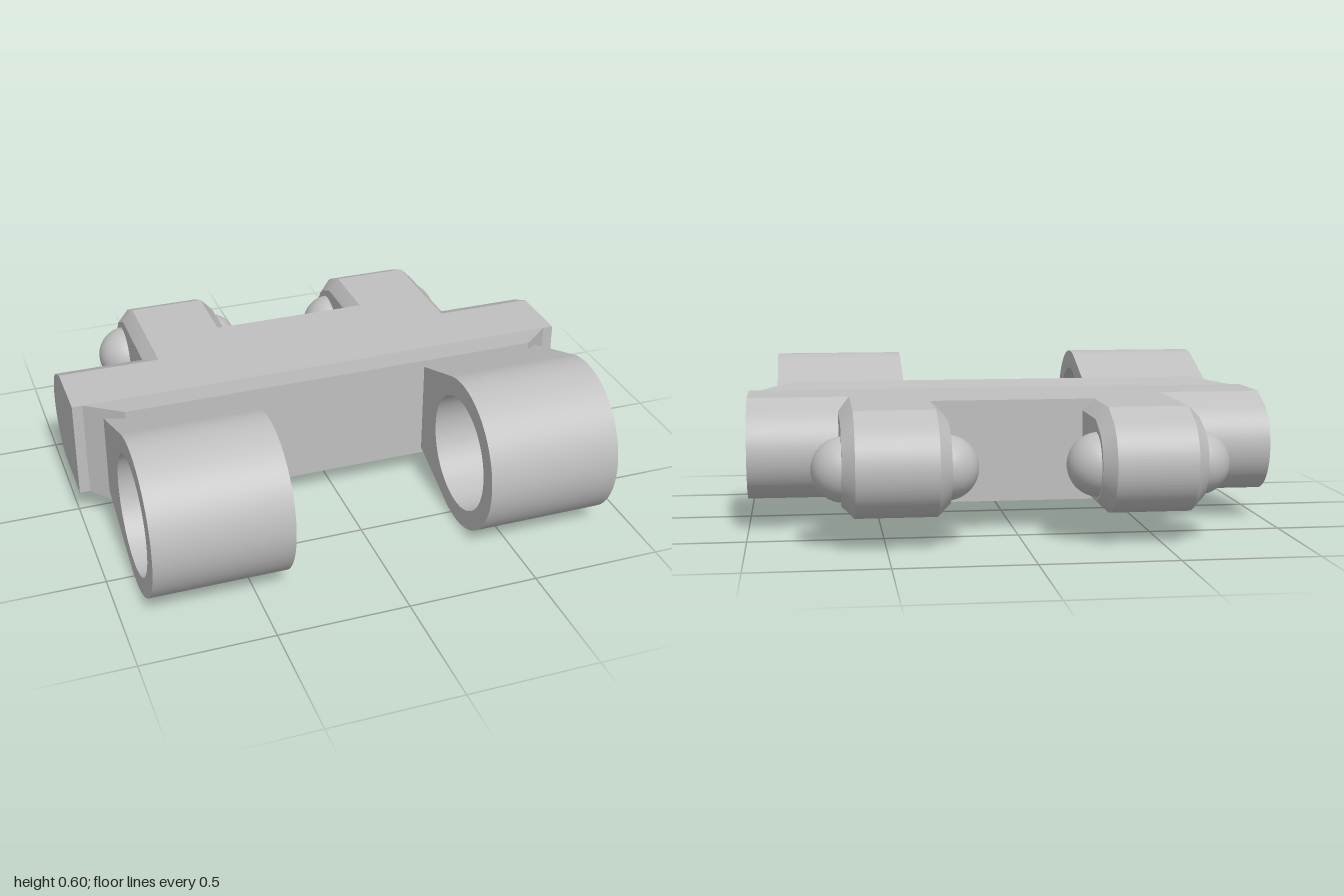
import * as THREE from 'three';
import { toCreasedNormals } from 'three/addons/utils/BufferGeometryUtils.js';

// Extrude a side outline (u points to the back, v up) between x0 and x1
function sideExtrude(shape, x0, x1, bevel = 0) {
  const geo = new THREE.ExtrudeGeometry(shape, {
    depth: x1 - x0 - 2 * bevel, curveSegments: 40, bevelEnabled: bevel > 0,
    bevelSize: bevel, bevelThickness: bevel, bevelOffset: -bevel, bevelSegments: 1,
  });
  geo.rotateY(Math.PI / 2).translate(x0 + bevel, 0, 0);
  return toCreasedNormals(geo, 0.4);
}

// Bar outline with a sloped top edge and a rounded back centred at u = c
function roundedBar(front, c) {
  const s = new THREE.Shape();
  s.moveTo(front, 0.11);
  s.lineTo(c, 0.11);
  s.absarc(c, 0.295, 0.185, -Math.PI / 2, Math.PI / 6 + 0.45, false);
  s.lineTo(c, 0.495);
  s.lineTo(front, 0.495);
  s.closePath();
  return s;
}

// Eye outline: tube blending into a tapered neck, with a round hole
function eyeShape() {
  const a = 0.355, c = -0.545, r = 0.3, neck = -0.08;
  const tx = c + r * Math.sin(a), ty = r * Math.cos(a);
  const h = ty - (neck - tx) * Math.tan(a);
  const s = new THREE.Shape();
  s.moveTo(neck, 0.3 - h);
  s.lineTo(neck, 0.3 + h);
  s.lineTo(tx, 0.3 + ty);
  s.absarc(c, 0.3, r, Math.PI / 2 - a, 1.5 * Math.PI + a, false);
  s.closePath();
  const hole = new THREE.Path();
  hole.absarc(c, 0.3, 0.225, 0, Math.PI * 2, true);
  s.holes.push(hole);
  return s;
}

export function createModel() {
  const group = new THREE.Group();
  const grey = new THREE.MeshStandardMaterial({ color: 0xbfbfbf });
  grey.name = 'grey';
  const add = (name, geo, x = 0, y = 0, z = 0) => {
    const m = new THREE.Mesh(geo, grey);
    m.name = name;
    m.position.set(x, y, z);
    group.add(m);
  };

  // Central web, square at the back
  add('centreBlock', new THREE.BoxGeometry(0.92, 0.385, 0.44), 0.005, 0.3025, -0.165);

  // Flared front rail with cut corners
  const rail = new THREE.BoxGeometry(1.92, 0.385, 0.132).toNonIndexed();
  const p = rail.attributes.position;
  for (let i = 0; i < p.count; i++) {
    if (p.getZ(i) > 0) {
      p.setX(i, Math.sign(p.getX(i)) * 0.825);
      p.setY(i, Math.sign(p.getY(i)) * 0.2125);
    }
  }
  rail.computeVertexNormals();
  add('frontRail', rail, 0, 0.3025, 0.121);

  for (const side of [-1, 1]) {
    // End blocks with rounded backs
    const [e0, e1] = side < 0 ? [-1, -0.455] : [0.465, 1];
    add('endBlock', sideExtrude(roundedBar(-0.055, 0.2), e0, e1));

    // Front eyes
    const [r0, r1] = side < 0 ? [-0.895, -0.375] : [0.375, 0.89];
    add('frontEye', sideExtrude(eyeShape(), r0, r1));

    // Rear arms with chamfered edges and ball ends on both sides
    const mid = side < 0 ? -0.455 : 0.465;
    add('rearArm', sideExtrude(roundedBar(0.05, 0.655), mid - 0.193, mid + 0.193, 0.045));
    for (const s of [-1, 1]) {
      add('ball', new THREE.SphereGeometry(0.118, 40, 24), mid + s * 0.182, 0.287, -0.663);
    }
  }
  return group;
}
